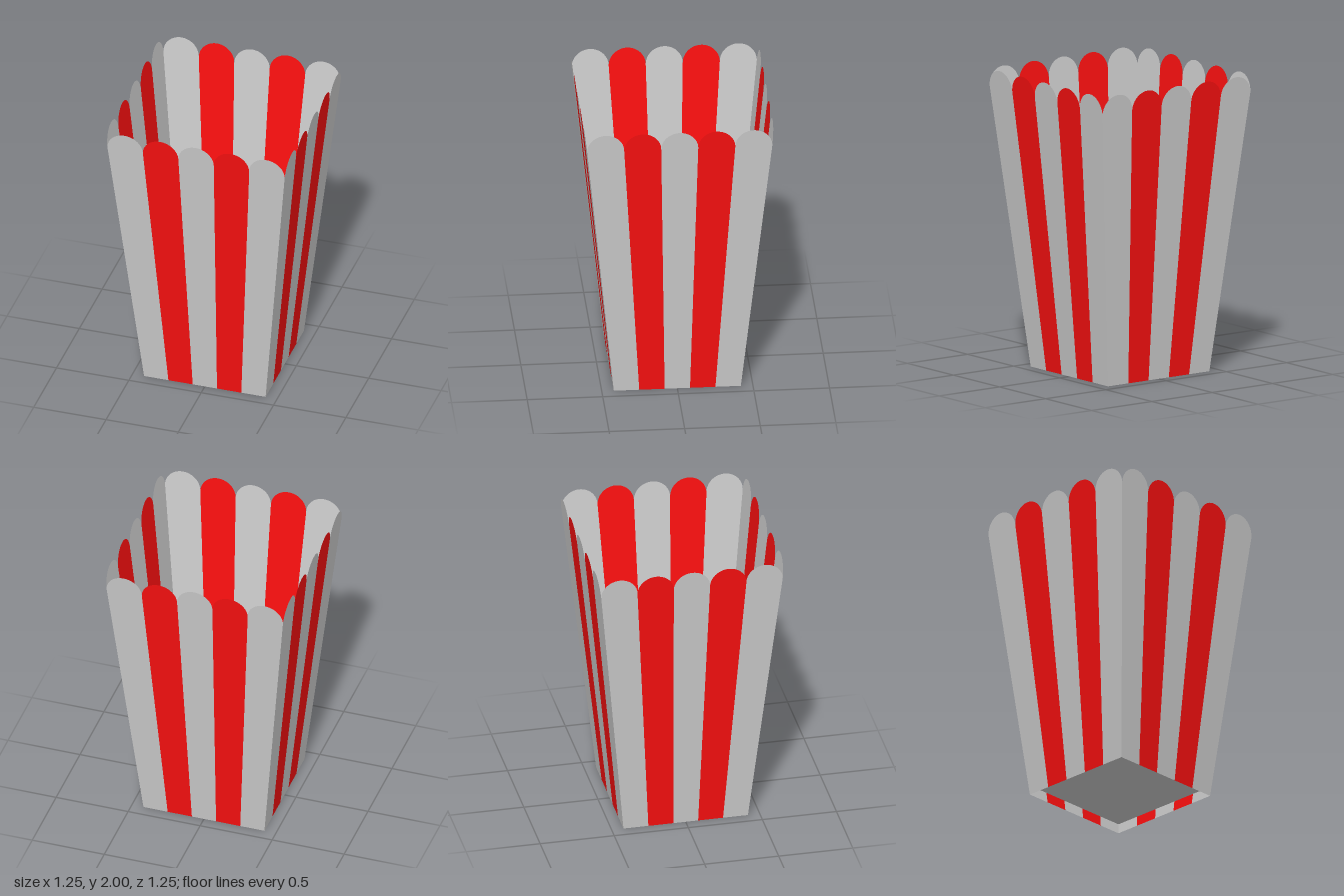
import * as THREE from 'three';

const BASE = 0.42;      // half width at the foot
const TOP = 0.625;      // half width at the rim
const HEIGHT = 2;
const STRIPES = 5;
const FLOOR_Y = 0.07;

const halfAt = (y) => BASE + (TOP - BASE) * y / HEIGHT;

// One tapering stripe with a rounded top, leaned outward to lie in its wall
function stripeGeometry(index) {
  const radius = 0.1225;
  const shoulder = HEIGHT - radius;
  const edge = (i, y) => halfAt(y) * (2 * i / STRIPES - 1);
  const left = edge(index, shoulder);
  const right = edge(index + 1, shoulder);
  const shape = new THREE.Shape();
  shape.moveTo(edge(index, 0), 0);
  shape.lineTo(edge(index + 1, 0), 0);
  shape.lineTo(right, shoulder);
  shape.absellipse((left + right) / 2, shoulder, (right - left) / 2, radius, 0, Math.PI, false);
  const geometry = new THREE.ShapeGeometry(shape, 24);
  const pos = geometry.attributes.position;
  for (let i = 0; i < pos.count; i++) pos.setZ(i, halfAt(pos.getY(i)));
  geometry.computeVertexNormals();
  return geometry;
}

export function createModel() {
  const model = new THREE.Group();
  model.name = 'popcornBox';
  const grey = new THREE.MeshStandardMaterial({ color: 0xcccccc, side: THREE.DoubleSide });
  const red = new THREE.MeshStandardMaterial({ color: 0xfa1010, side: THREE.DoubleSide });
  const stripes = Array.from({ length: STRIPES }, (_, i) => stripeGeometry(i));

  // Four identical striped walls
  ['frontWall', 'leftWall', 'backWall', 'rightWall'].forEach((name, side) => {
    const wall = new THREE.Group();
    wall.name = name;
    stripes.forEach((geometry, i) => {
      const stripe = new THREE.Mesh(geometry, i % 2 ? red : grey);
      stripe.name = i % 2 ? 'redStripe' : 'greyStripe';
      wall.add(stripe);
    });
    wall.rotation.y = side * Math.PI / 2;
    model.add(wall);
  });

  // Floor, set slightly above the foot
  const size = 2 * halfAt(FLOOR_Y);
  const floor = new THREE.Mesh(new THREE.PlaneGeometry(size, size), grey);
  floor.name = 'floor';
  floor.rotation.x = -Math.PI / 2;
  floor.position.y = FLOOR_Y;
  model.add(floor);

  return model;
}
